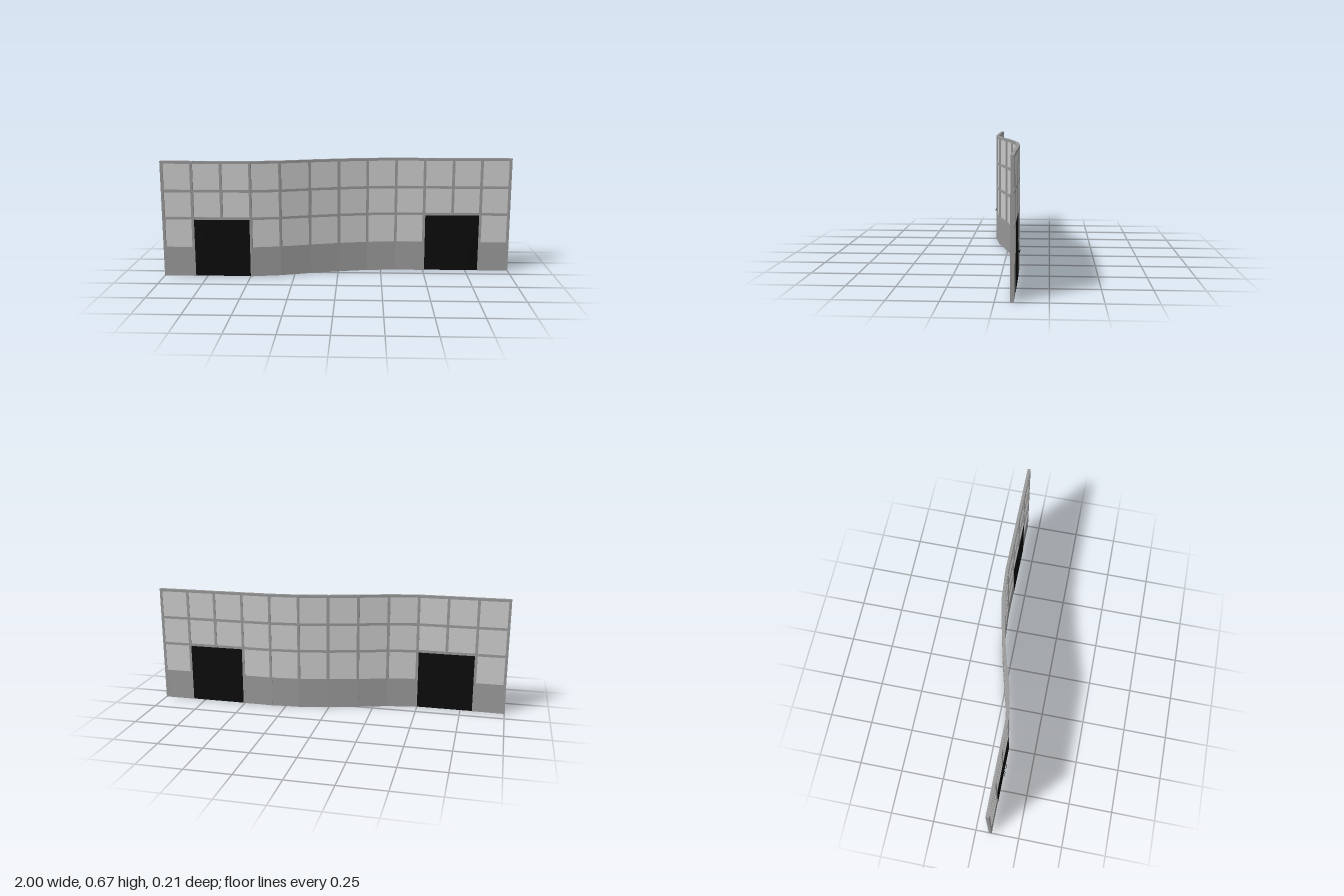
import * as THREE from 'three';

// Plan of the wall: bay lines along x and the z of the wall's middle at each one
const NODES = [-1, -0.825, -0.659, -0.493, -0.327, -0.161, 0.005, 0.17, 0.336, 0.501, 0.667, 0.829, 1];
const DEPTHS = [0.0845, 0.0845, 0.0845, 0.0845, 0.056, 0.006, -0.036, -0.069, -0.0815, -0.0815, -0.0815, -0.0815, -0.0815];
const ROWS = [0.165, 0.34, 0.498, 0.661]; // heights of the horizontal bars
const HALF = 0.0085; // half the wall thickness
const BAR = 0.0075; // half the width of a frame bar
const HEIGHT = 0.668;

const frameMat = new THREE.MeshStandardMaterial({ color: 0x999999 });
const paneMat = new THREE.MeshStandardMaterial({ color: 0xcccccc });
const doorMat = new THREE.MeshStandardMaterial({ color: 0x0a0a0a });

function depthAt(x) {
  let i = 0;
  while (i < NODES.length - 2 && x > NODES[i + 1]) i++;
  const t = (x - NODES[i]) / (NODES[i + 1] - NODES[i]);
  return THREE.MathUtils.lerp(DEPTHS[i], DEPTHS[i + 1], t);
}

// A box that follows the bent plan; z values are measured from the wall's middle
function slab(parent, name, mat, x0, x1, y0, y1, z0 = -HALF, z1 = HALF) {
  const box = new THREE.BoxGeometry(x1 - x0, y1 - y0, z1 - z0, 2, 1, 1);
  box.translate((x0 + x1) / 2, (y0 + y1) / 2, (z0 + z1) / 2);
  const geo = box.toNonIndexed();
  const p = geo.attributes.position;
  for (let i = 0; i < p.count; i++) p.setZ(i, p.getZ(i) + depthAt(p.getX(i)));
  geo.computeVertexNormals();
  const mesh = new THREE.Mesh(geo, mat);
  mesh.name = name;
  parent.add(mesh);
}

// Double door filling two bays, with a lever handle on each leaf, on both faces
function addDoor(parent, name, bay) {
  const door = new THREE.Group();
  door.name = name;
  const x0 = NODES[bay] + BAR, x1 = NODES[bay + 2] - BAR;
  const mid = (x0 + x1) / 2, y = 0.166, face = HALF + 0.0005;
  slab(door, 'doorLeaf', doorMat, x0, mid, 0.002, ROWS[1] - BAR, -face, face);
  slab(door, 'doorLeaf', doorMat, mid, x1, 0.002, ROWS[1] - BAR, -face, face);
  for (const side of [-1, 1]) {
    const hx = mid + side * 0.011;
    const tip = hx + side * 0.026;
    slab(door, 'handleSpindle', doorMat, hx - 0.0015, hx + 0.0015, y - 0.0015, y + 0.0015, -0.023, 0.023);
    slab(door, 'handlePlate', doorMat, hx - 0.004, hx + 0.004, y - 0.012, y + 0.012, -face - 0.001, face + 0.001);
    for (const f of [-1, 1]) {
      slab(door, 'handleLever', doorMat, Math.min(hx, tip), Math.max(hx, tip),
        y - 0.0015, y + 0.0015, f * 0.0218 - 0.0012, f * 0.0218 + 0.0012);
    }
  }
  parent.add(door);
}

export function createModel() {
  const model = new THREE.Group();
  model.name = 'curvedFacade';
  const frame = new THREE.Group();
  frame.name = 'frame';
  const infill = new THREE.Group();
  infill.name = 'infill';
  model.add(frame, infill);

  const last = NODES.length - 1;
  const doorBays = [1, 2, 9, 10];

  // Upright bars; those in the middle of a doorway stop above it
  NODES.forEach((x, i) => {
    const x0 = i === 0 ? x : x - BAR;
    const x1 = i === last ? x : x + BAR;
    const foot = i === 2 || i === 10 ? ROWS[1] - BAR : 0;
    // the end posts are a full bar wide, inside the wall's length
    slab(frame, 'mullion', frameMat, i === last ? x - 2 * BAR : x0, i === 0 ? x + 2 * BAR : x1, foot, HEIGHT);
  });

  for (let bay = 0; bay < last; bay++) {
    const x0 = NODES[bay] + (bay === 0 ? 2 : 1) * BAR;
    const x1 = NODES[bay + 1] - (bay === last - 1 ? 2 : 1) * BAR;
    const hasDoor = doorBays.includes(bay);

    // Horizontal bars
    ROWS.forEach((y, r) => {
      if (r === 0 && hasDoor) return;
      slab(frame, r ? 'transom' : 'sill', frameMat, x0, x1, y - BAR, y + BAR);
    });

    // Solid panel below the sill
    if (!hasDoor) slab(infill, 'lowerPanel', frameMat, x0, x1, 0, ROWS[0] - BAR, -HALF + 0.001, HALF - 0.001);

    // Window panes, set back from the front
    for (let r = hasDoor ? 1 : 0; r < 3; r++) {
      slab(infill, 'windowPane', paneMat, x0, x1, ROWS[r] + BAR, ROWS[r + 1] - BAR, -0.006, -0.001);
    }
  }

  addDoor(model, 'rightDoor', 1);
  addDoor(model, 'leftDoor', 9);
  return model;
}
